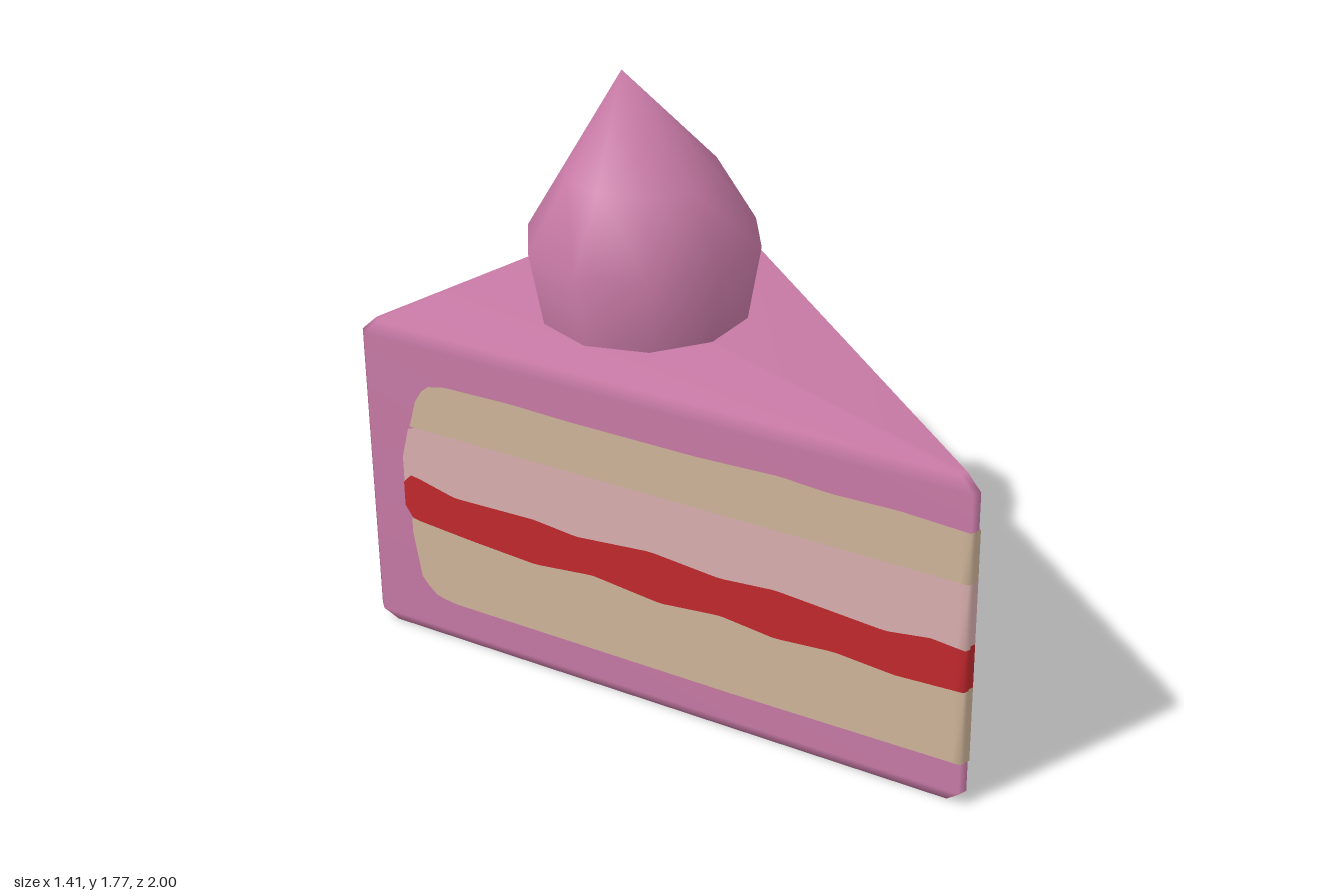
import * as THREE from 'three';
import { mergeVertices } from 'three/addons/utils/BufferGeometryUtils.js';

const mat = (name, color, side = THREE.FrontSide) => {
  const m = new THREE.MeshStandardMaterial({ color, side });
  m.name = name;
  return m;
};

function buildGeometry(positions, index) {
  const g = new THREE.BufferGeometry();
  g.setAttribute('position', new THREE.Float32BufferAttribute(positions, 3));
  g.setIndex(index);
  g.computeVertexNormals();
  return g;
}

// Wedge body: bevelled outline rings stacked from bottom to top
function wedgeGeometry() {
  const mirror = (half, mid) => [...half, [0, mid], ...half.slice().reverse().map(([x, z]) => [-x, z])];
  const outer = mirror([[0.015, 1], [0.707, -0.885], [0.69, -0.92]], -1);
  const inner = mirror([[0.012, 0.95], [0.672, -0.86], [0.66, -0.885]], -0.965);
  const rings = [[inner, 0], [outer, 0.042], [outer, 1.003], [inner, 1.045]];
  const n = outer.length, pos = [], idx = [];
  for (const [ring, y] of rings) for (const [x, z] of ring) pos.push(x, y, z);
  for (let r = 0; r < 3; r++) for (let i = 0; i < n; i++) {
    const a = r * n + i, b = r * n + (i + 1) % n;
    idx.push(a, b, a + n, b, b + n, a + n);
  }
  // Caps, fanned from the back middle point
  const top = 3 * n;
  for (let k = 1; k < n - 1; k++) {
    const a = (3 + k) % n, b = (4 + k) % n;
    idx.push(top + 3, top + a, top + b, 3, b, a);
  }
  return buildGeometry(pos, idx);
}

// Piecewise-linear curve through [z, y] points listed from the tip to the back
function curve(points) {
  return (z) => {
    for (let i = 1; i < points.length; i++) {
      const [z0, y0] = points[i - 1], [z1, y1] = points[i];
      if (z >= z1) return THREE.MathUtils.lerp(y0, y1, (z0 - z) / (z0 - z1));
    }
    return points[points.length - 1][1];
  };
}

// Thin painted layer between two curves on one cut side, reaching round the tip
function layerGeometry(side, low, high, end) {
  const pos = [], idx = [], steps = 72, lift = 0.003;
  pos.push(0, low(1), 1 + lift, 0, high(1), 1 + lift);
  for (let i = 0; i <= steps; i++) {
    const z = THREE.MathUtils.lerp(1, end, i / steps);
    const x = 0.015 + (1 - z) * 0.367 + lift;
    pos.push(side * x, low(z), z + lift, side * x, high(z), z + lift);
  }
  for (let i = 0; i <= steps; i++) {
    const a = i * 2;
    if (side > 0) idx.push(a, a + 2, a + 1, a + 1, a + 2, a + 3);
    else idx.push(a, a + 1, a + 2, a + 1, a + 3, a + 2);
  }
  return buildGeometry(pos, idx);
}

// Ten-sided topping whose point leans back
function toppingGeometry() {
  const profile = [[0.31, 1.0], [0.32, 1.045], [0.362, 1.28], [0.235, 1.495], [0, 1.775]];
  let g = new THREE.LatheGeometry(profile.map(([r, y]) => new THREE.Vector2(r, y)), 10);
  const p = g.attributes.position;
  for (let i = 0; i < p.count; i++) if (p.getY(i) > 1.7) p.setZ(i, -0.092);
  g.deleteAttribute('uv');
  g.deleteAttribute('normal');
  g = mergeVertices(g);
  g.computeVertexNormals();
  return g;
}

export function createModel() {
  const frosting = mat('pink frosting', 0xc87aa6);
  const sponge = mat('beige sponge', 0xd0b59a, THREE.DoubleSide);
  const cream = mat('pale pink cream', 0xdab0af, THREE.DoubleSide);
  const jam = mat('red jam', 0xc2282d, THREE.DoubleSide);
  const group = new THREE.Group();
  group.name = 'cakeSlice';
  const add = (name, geometry, material) => {
    const mesh = new THREE.Mesh(geometry, material);
    mesh.name = name;
    group.add(mesh);
    return mesh;
  };

  add('frostingBody', wedgeGeometry(), frosting);
  add('topping', toppingGeometry(), frosting).position.z = -0.423;

  // Layer boundaries with rounded back ends
  const base = curve([[1, 0.145], [0.3, 0.14], [-0.62, 0.145], [-0.68, 0.155], [-0.73, 0.2], [-0.75, 0.28], [-0.757, 0.36]]);
  const creamTop = curve([[1, 0.73], [-0.745, 0.73], [-0.765, 0.7], [-0.776, 0.62]]);
  const spongeTop = curve([[1, 0.89], [0.8, 0.9], [0.6, 0.895], [0.45, 0.905], [0.2, 0.895], [-0.2, 0.895], [-0.4, 0.9],
    [-0.62, 0.895], [-0.68, 0.88], [-0.715, 0.84], [-0.735, 0.77], [-0.745, 0.73]]);
  const waves = {
    left: {
      low: [[1, 0.39], [0.8, 0.375], [0.6, 0.39], [0.45, 0.38], [0.2, 0.405], [0, 0.395], [-0.15, 0.39], [-0.4, 0.402], [-0.55, 0.405], [-0.63, 0.39]],
      high: [[1, 0.53], [0.8, 0.51], [0.6, 0.525], [0.35, 0.54], [0.2, 0.53], [0, 0.545], [-0.2, 0.53], [-0.45, 0.54], [-0.6, 0.53]],
    },
    right: {
      low: [[1, 0.385], [0.8, 0.375], [0.62, 0.39], [0.44, 0.375], [0.27, 0.395], [0.08, 0.375], [-0.14, 0.4], [-0.33, 0.378], [-0.55, 0.392]],
      high: [[1, 0.52], [0.9, 0.53], [0.77, 0.51], [0.44, 0.535], [0.27, 0.52], [0.05, 0.54], [-0.19, 0.517], [-0.33, 0.532], [-0.6, 0.525]],
    },
  };
  for (const [name, side] of [['left', 1], ['right', -1]]) {
    const jamLow = curve([...waves[name].low, [-0.74, 0.408], [-0.765, 0.415], [-0.778, 0.45]]);
    const jamHigh = curve([...waves[name].high, [-0.74, 0.56], [-0.765, 0.56], [-0.778, 0.53]]);
    add(name + 'LowerSponge', layerGeometry(side, base, jamLow, -0.757), sponge);
    add(name + 'Jam', layerGeometry(side, jamLow, jamHigh, -0.778), jam);
    add(name + 'Cream', layerGeometry(side, jamHigh, creamTop, -0.776), cream);
    add(name + 'UpperSponge', layerGeometry(side, creamTop, spongeTop, -0.745), sponge);
  }
  return group;
}
